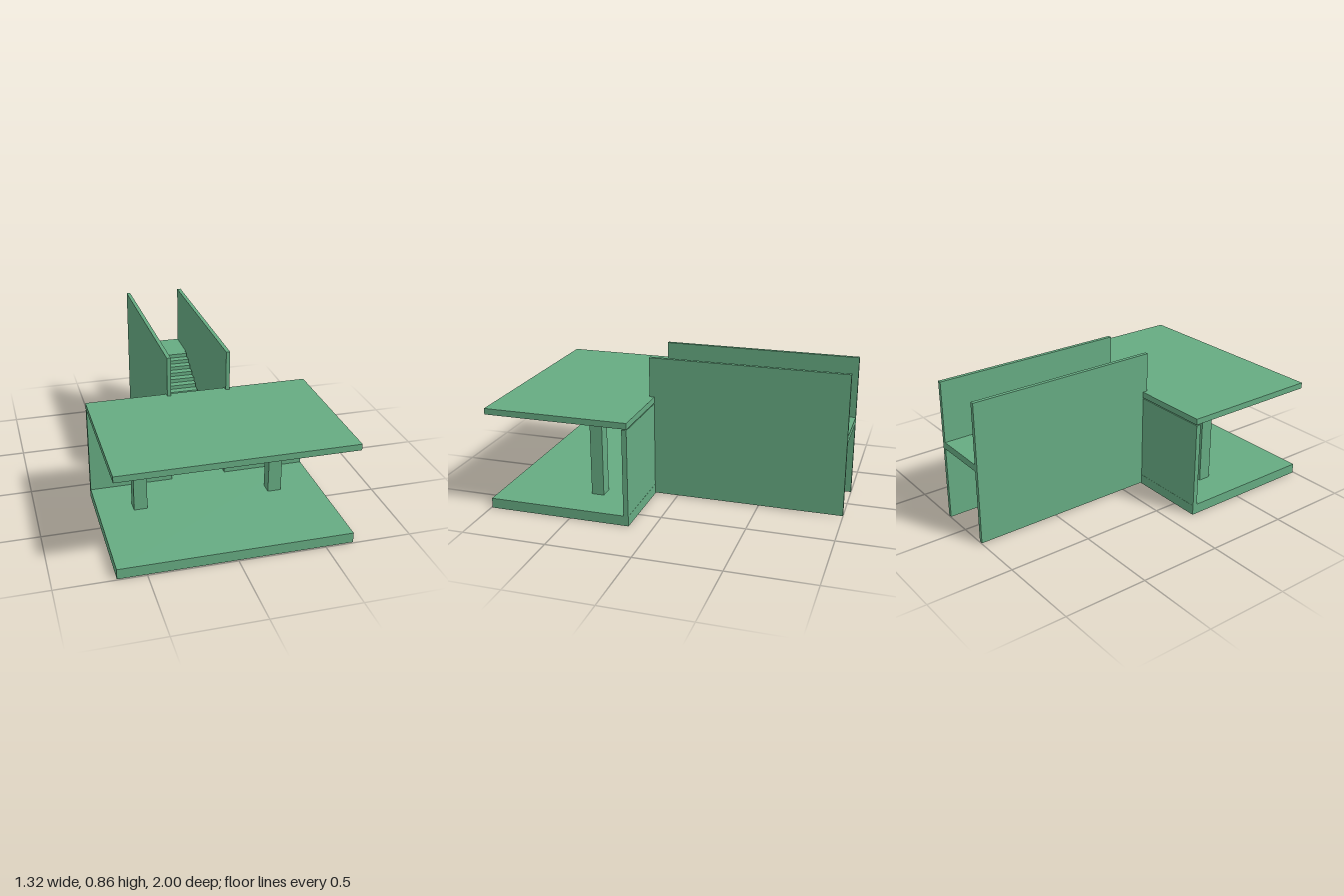
import * as THREE from 'three';

export function createModel() {
  const model = new THREE.Group();
  model.name = 'stairEntrance';
  const green = new THREE.MeshStandardMaterial({ color: 0x66ab82 });
  green.name = 'green';

  const add = (name, geometry) => {
    const mesh = new THREE.Mesh(geometry, green);
    mesh.name = name;
    model.add(mesh);
    return mesh;
  };
  // Box given by its limits on each axis
  const slab = (name, x0, x1, y0, y1, z0, z1) => {
    const mesh = add(name, new THREE.BoxGeometry(x1 - x0, y1 - y0, z1 - z0));
    mesh.position.set((x0 + x1) / 2, (y0 + y1) / 2, (z0 + z1) / 2);
  };

  // Porch
  slab('floor', -0.662, 0.662, 0, 0.06, 0.14, 0.993);
  slab('roof', -0.662, 0.662, 0.582, 0.618, 0.14, 1);
  slab('leftColumn', 0.35, 0.43, 0.06, 0.582, 0.38, 0.455);
  slab('rightColumn', -0.458, -0.38, 0.06, 0.582, 0.38, 0.455);

  // Back wall with a doorway
  const wall = new THREE.Shape();
  [[-0.662, 0.005], [-0.165, 0.005], [-0.165, 0.445], [0.165, 0.445],
    [0.165, 0.005], [0.662, 0.005], [0.662, 0.576], [-0.662, 0.576]]
    .forEach(([x, y], i) => (i ? wall.lineTo(x, y) : wall.moveTo(x, y)));
  wall.closePath();
  add('backWall', new THREE.ExtrudeGeometry(wall, { depth: 0.029, bevelEnabled: false }))
    .position.z = 0.141;

  // Side walls of the stairwell
  slab('leftStairWall', 0.165, 0.188, 0.005, 0.856, -1, 0.17);
  slab('rightStairWall', -0.188, -0.165, 0.005, 0.856, -1, 0.17);

  // Lower and upper landings
  slab('lowerLanding', -0.165, 0.165, 0.004, 0.06, 0.09, 0.14);
  slab('upperLanding', -0.165, 0.165, 0.447, 0.488, -1, -0.775);

  // Solid flight of steps, profile drawn as (run, height)
  const steps = 18, going = 0.865 / steps, rise = 0.0238;
  const profile = new THREE.Shape();
  profile.moveTo(0, 0.035);
  for (let i = 0; i < steps; i++) {
    const y = 0.06 + (i + 1) * rise;
    profile.lineTo(i * going, y);
    profile.lineTo((i + 1) * going, y);
  }
  profile.lineTo(steps * going, 0.035);
  profile.closePath();
  const flight = add('stairs', new THREE.ExtrudeGeometry(profile, { depth: 0.32, bevelEnabled: false }));
  flight.rotation.y = Math.PI / 2;
  flight.position.set(-0.16, 0, 0.09);

  return model;
}
